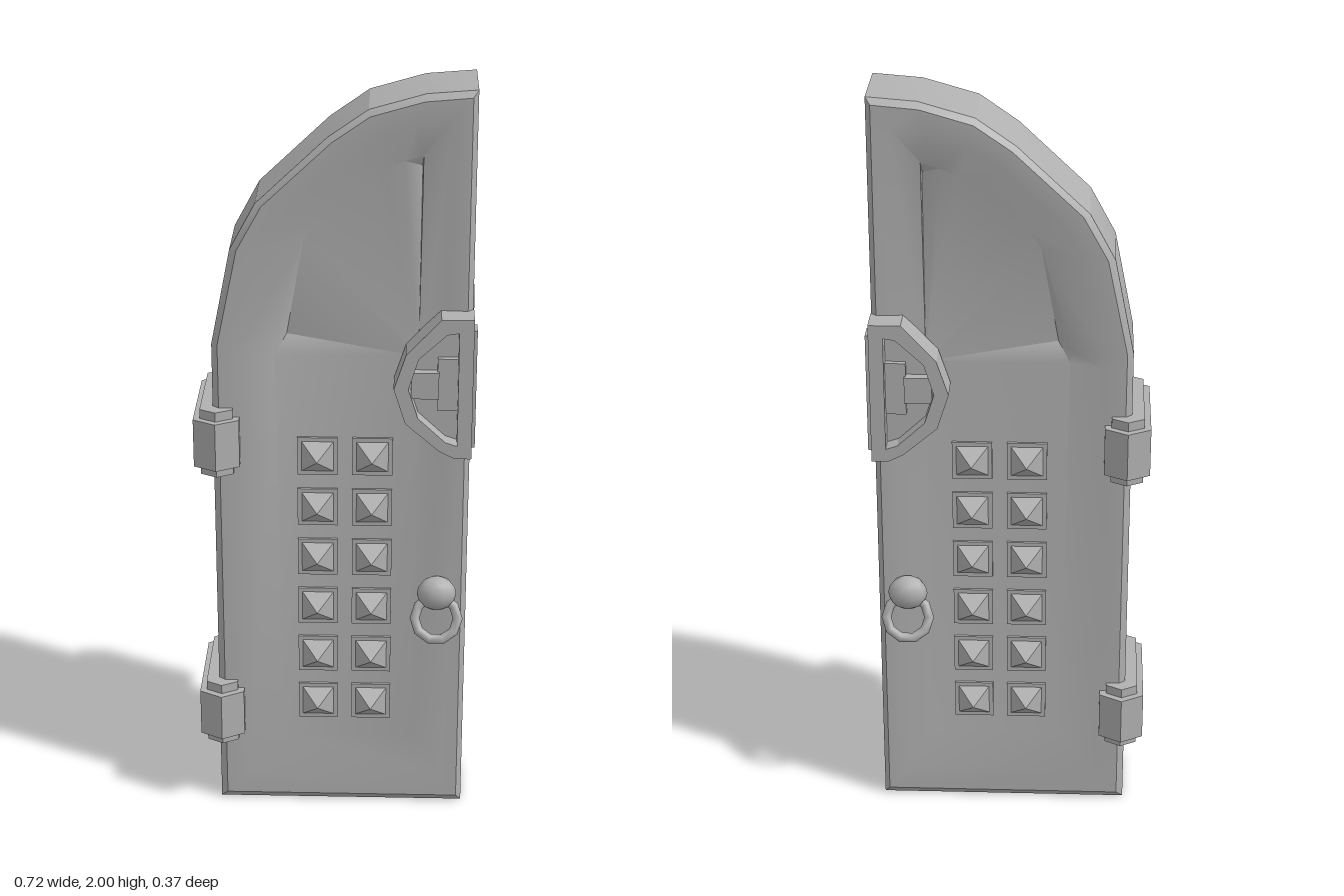
import * as THREE from 'three';
import { toCreasedNormals } from 'three/addons/utils/BufferGeometryUtils.js';

const stone = new THREE.MeshStandardMaterial({ color: 0xb0b0b0 });
stone.name = 'grey';

// Copy of a geometry reflected through z = 0, with corner order restored
function mirrorZ(geo) {
  const g = geo.index ? geo.toNonIndexed() : geo.clone();
  const p = g.attributes.position, n = g.attributes.normal;
  const a = new THREE.Vector3(), b = new THREE.Vector3();
  for (const attr of [p, n]) {
    for (let i = 0; i < attr.count; i += 3) {
      for (let k = 0; k < 3; k++) attr.setZ(i + k, -attr.getZ(i + k));
      a.fromBufferAttribute(attr, i + 1);
      b.fromBufferAttribute(attr, i + 2);
      attr.setXYZ(i + 1, b.x, b.y, b.z);
      attr.setXYZ(i + 2, a.x, a.y, a.z);
    }
  }
  return g;
}

function add(group, name, geo) {
  const mesh = new THREE.Mesh(geo, stone);
  mesh.name = name;
  group.add(mesh);
}
function addBoth(group, name, geo) {
  add(group, name + 'Front', geo);
  add(group, name + 'Back', mirrorZ(geo));
}

const toShape = (pts) => new THREE.Shape(pts.map(([x, y]) => new THREE.Vector2(x, y)));
const extrude = (shape, depth, z = 0) =>
  new THREE.ExtrudeGeometry(shape, { depth, bevelEnabled: false }).translate(0, 0, z);
const box = (x0, x1, y0, y1, z0, z1) =>
  new THREE.BoxGeometry(x1 - x0, y1 - y0, z1 - z0)
    .translate((x0 + x1) / 2, (y0 + y1) / 2, (z0 + z1) / 2);

// Half-arch outline and the matching edge of the sunken panel
const outline = [[-0.315, 0], [-0.315, 1.3], [-0.315, 1.34], [-0.265, 1.59], [-0.2, 1.71],
  [-0.02, 1.88], [0.08, 1.95], [0.22, 1.99], [0.345, 2], [0.345, 1.3], [0.345, 0]];
const panel = [[-0.14, 0.2], [-0.155, 1.31], [-0.16, 1.34], [-0.08, 1.62], [-0.04, 1.67],
  [0.08, 1.78], [0.12, 1.8], [0.17, 1.82], [0.215, 1.835], [0.21, 1.31], [0.21, 0.2]];

// Ring part of the way from the outline to the panel
const ring = (t, z) => outline.map(([x, y], i) =>
  new THREE.Vector3(x + (panel[i][0] - x) * t, y + (panel[i][1] - y) * t, z));

function fromTriangles(tris, crease) {
  const g = new THREE.BufferGeometry().setFromPoints(tris);
  g.computeVertexNormals();
  return toCreasedNormals(g, crease);
}
function band(tris, a, b) {
  a.forEach((_, i) => {
    const j = (i + 1) % a.length;
    tris.push(a[i], b[i], b[j], a[i], b[j], a[j]);
  });
}

function doorFace() {
  const tris = [];
  const rings = [ring(0, 0.1), ring(0.1, 0.114), ring(0.45, 0.113), ring(1, 0.095)];
  // Floor corners sunk deeper at two ends of the arch
  const floor = ring(1, 0.095);
  floor[2].set(-0.125, 1.36, 0.07);
  floor[8].set(0.213, 1.805, 0.075);
  rings.push(floor);
  for (let i = 0; i + 1 < rings.length; i++) band(tris, rings[i], rings[i + 1]);
  const f = floor;
  tris.push(f[0], f[10], f[9], f[0], f[9], f[1]);
  for (let i = 1; i < 8; i++) tris.push(f[9], f[i + 1], f[i]);
  return fromTriangles(tris, 0.55);
}

function doorEdge() {
  const tris = [];
  band(tris, ring(0, -0.1), ring(0, 0.1));
  return fromTriangles(tris, 0.3);
}

export function createModel() {
  const model = new THREE.Group();
  model.name = 'halfArchDoor';

  // Door slab
  const door = new THREE.Group();
  door.name = 'doorSlab';
  model.add(door);
  add(door, 'doorEdge', doorEdge());
  addBoth(door, 'doorFace', doorFace());

  // Pyramid studs on square bases
  const studs = new THREE.Group();
  studs.name = 'studs';
  model.add(studs);
  for (const x of [-0.047, 0.095]) {
    for (let row = 0; row < 6; row++) {
      const y = 0.308 + row * 0.145;
      addBoth(studs, 'studBase', box(x - 0.052, x + 0.052, y - 0.052, y + 0.052, 0.085, 0.102));
      const spike = new THREE.ConeGeometry(0.042 * Math.SQRT2, 0.045, 4, 1, false)
        .toNonIndexed().rotateY(Math.PI / 4).rotateX(Math.PI / 2).translate(x, y, 0.1235);
      spike.computeVertexNormals();
      addBoth(studs, 'stud', spike);
    }
  }

  // Hinges: hexagonal sleeves around the straight edge
  const sleeve = (w, tip, side, y0, y1) => {
    const c = -0.305;
    const hex = toShape([[c, -tip], [c + w, -side], [c + w, side], [c, tip], [c - w, side], [c - w, -side]]);
    return extrude(hex, y1 - y0).rotateX(-Math.PI / 2).translate(0, y0, 0);
  };
  for (const y of [0.285, 1.08]) {
    const hinge = new THREE.Group();
    hinge.name = 'hinge';
    model.add(hinge);
    add(hinge, 'hingeBand', sleeve(0.059, 0.168, 0.135, y - 0.065, y + 0.065));
    add(hinge, 'hingeCore', sleeve(0.042, 0.148, 0.125, y - 0.09, y + 0.09));
  }

  // Lock: half-octagon frame around a keyhole block
  const lock = new THREE.Group();
  lock.name = 'lock';
  model.add(lock);
  const rim = [[0.347, 1.44], [0.265, 1.44], [0.178, 1.345], [0.148, 1.253], [0.178, 1.16],
    [0.265, 1.085], [0.305, 1.065], [0.347, 1.065]];
  const hole = [[0.31, 1.405], [0.28, 1.4], [0.21, 1.335], [0.185, 1.253], [0.21, 1.175],
    [0.28, 1.11], [0.31, 1.1]];
  const frame = toShape(rim);
  frame.holes.push(toShape(hole));
  addBoth(lock, 'lockFrame', extrude(frame, 0.08, 0.1));
  addBoth(lock, 'lockPlate', extrude(toShape(hole), 0.035, 0.1));
  addBoth(lock, 'lockEnd', box(0.34, 0.355, 1.095, 1.41, 0.125, 0.175));
  addBoth(lock, 'keyBlock', box(0.192, 0.262, 1.22, 1.29, 0.12, 0.16));
  addBoth(lock, 'keyBar', box(0.258, 0.312, 1.185, 1.325, 0.12, 0.15));

  // Knob with a hanging pull ring
  const pull = new THREE.Group();
  pull.name = 'pull';
  model.add(pull);
  addBoth(pull, 'knob', new THREE.SphereGeometry(0.052, 10, 8).scale(1, 0.9, 0.75).translate(0.267, 0.655, 0.13));
  addBoth(pull, 'pullRing', new THREE.TorusGeometry(0.057, 0.013, 6, 10)
    .rotateX(-0.42).translate(0.267, 0.59, 0.149));

  return model;
}
